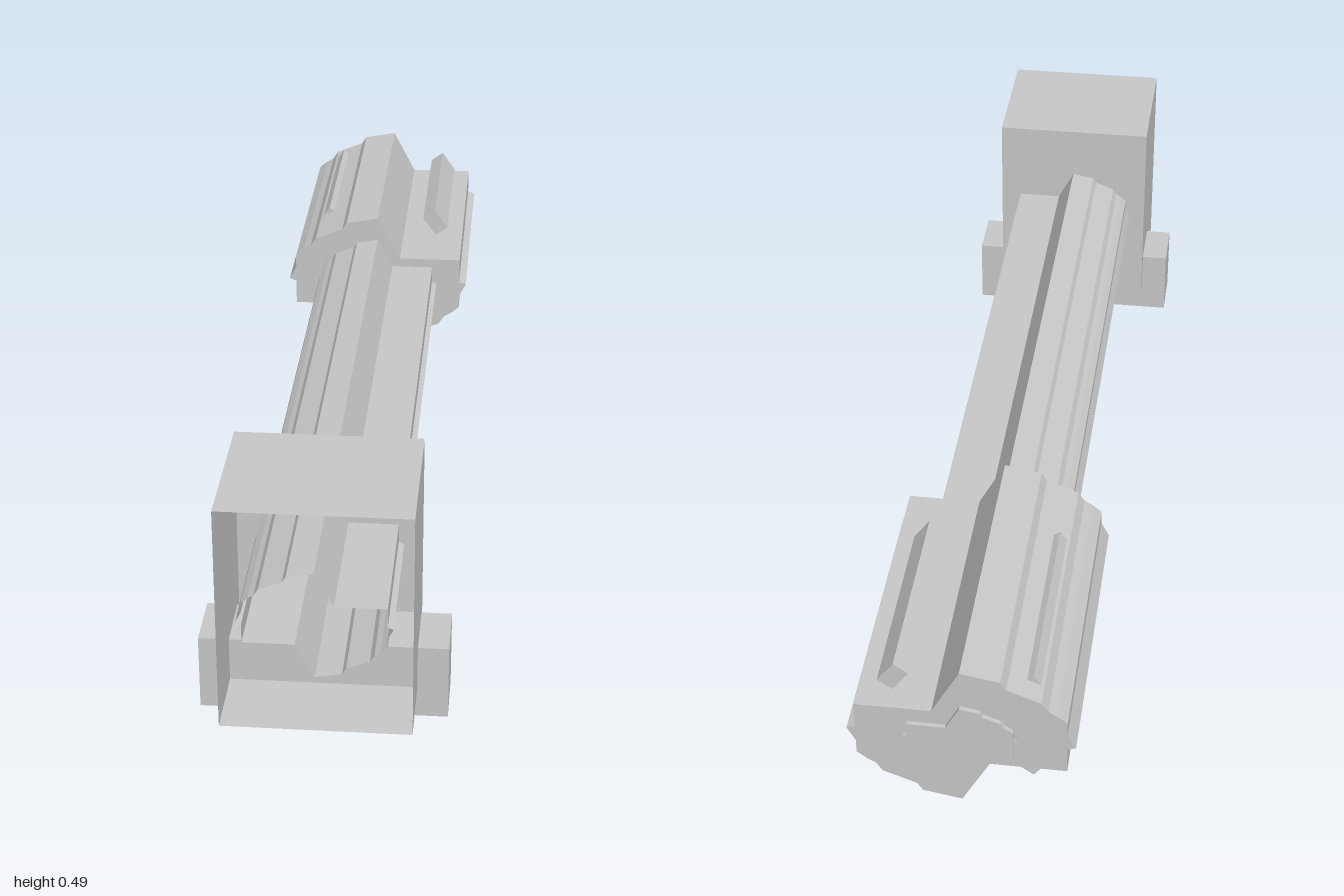
import * as THREE from 'three';

// Half of the toothed section, from the top ridge round the left side to the
// lower notch; the other half is the same turned by 180 degrees.
const HALF = [
  [0, 0.153], [-0.07, 0.14], [-0.08, 0.124], [-0.14, 0.1], [-0.152, 0.082],
  [-0.167, 0.073], [-0.185, 0.058], [-0.185, 0.03], [-0.2, 0.001],
  [-0.185, -0.005], [-0.185, -0.058], [-0.05, -0.058],
];
const AXIS_Y = 0.272;

function toothedBar(scale, z0, z1) {
  const points = [...HALF, ...HALF.map(([x, y]) => [-x, -y])]
    .map(([x, y]) => new THREE.Vector2(x * scale, y * scale));
  const geometry = new THREE.ExtrudeGeometry(new THREE.Shape(points), { depth: z1 - z0, bevelEnabled: false });
  geometry.translate(0, AXIS_Y, z0);
  return geometry;
}

// Keeps only the walls of an extrusion, leaving both ends open
function wallsOnly(geometry) {
  const { start, count } = geometry.groups[1];
  const open = new THREE.BufferGeometry();
  const p = geometry.attributes.position.array.slice(start * 3, (start + count) * 3);
  open.setAttribute('position', new THREE.BufferAttribute(p, 3));
  open.computeVertexNormals();
  return open;
}

export function createModel() {
  const model = new THREE.Group();
  const grey = new THREE.MeshStandardMaterial({ color: 0xc8c8c8, side: THREE.DoubleSide });
  grey.name = 'grey';

  function add(name, geometry, x = 0, y = 0, z = 0) {
    const mesh = new THREE.Mesh(geometry, grey);
    mesh.name = name;
    mesh.position.set(x, y, z);
    model.add(mesh);
    return mesh;
  }

  // Box head, open at the front
  const box = new THREE.BoxGeometry(0.334, 0.425, 0.28);
  const index = Array.from(box.index.array);
  index.splice(24, 6);
  box.setIndex(index);
  box.clearGroups();
  add('openBox', box, 0, 0.2725, 0.86);

  // Cross bar through the foot of the box
  add('crossBar', new THREE.BoxGeometry(0.444, 0.143, 0.115), 0, 0.0715, 0.8);

  // Hollow toothed shaft, thicker grip and end plate
  add('shaft', wallsOnly(toothedBar(0.667, -0.45, 1)));
  add('grip', toothedBar(1, -0.992, -0.43));
  add('endPlate', toothedBar(0.5, -1, -0.99));

  // Four raised ribs along the grip
  for (const sx of [-1, 1]) {
    for (const sy of [-1, 1]) {
      const rib = add('gripRib', new THREE.BoxGeometry(0.033, 0.05, 0.38),
        sx * 0.123, AXIS_Y + sy * 0.09, -0.76);
      rib.rotation.z = sx * sy * 0.63;
    }
  }
  return model;
}
